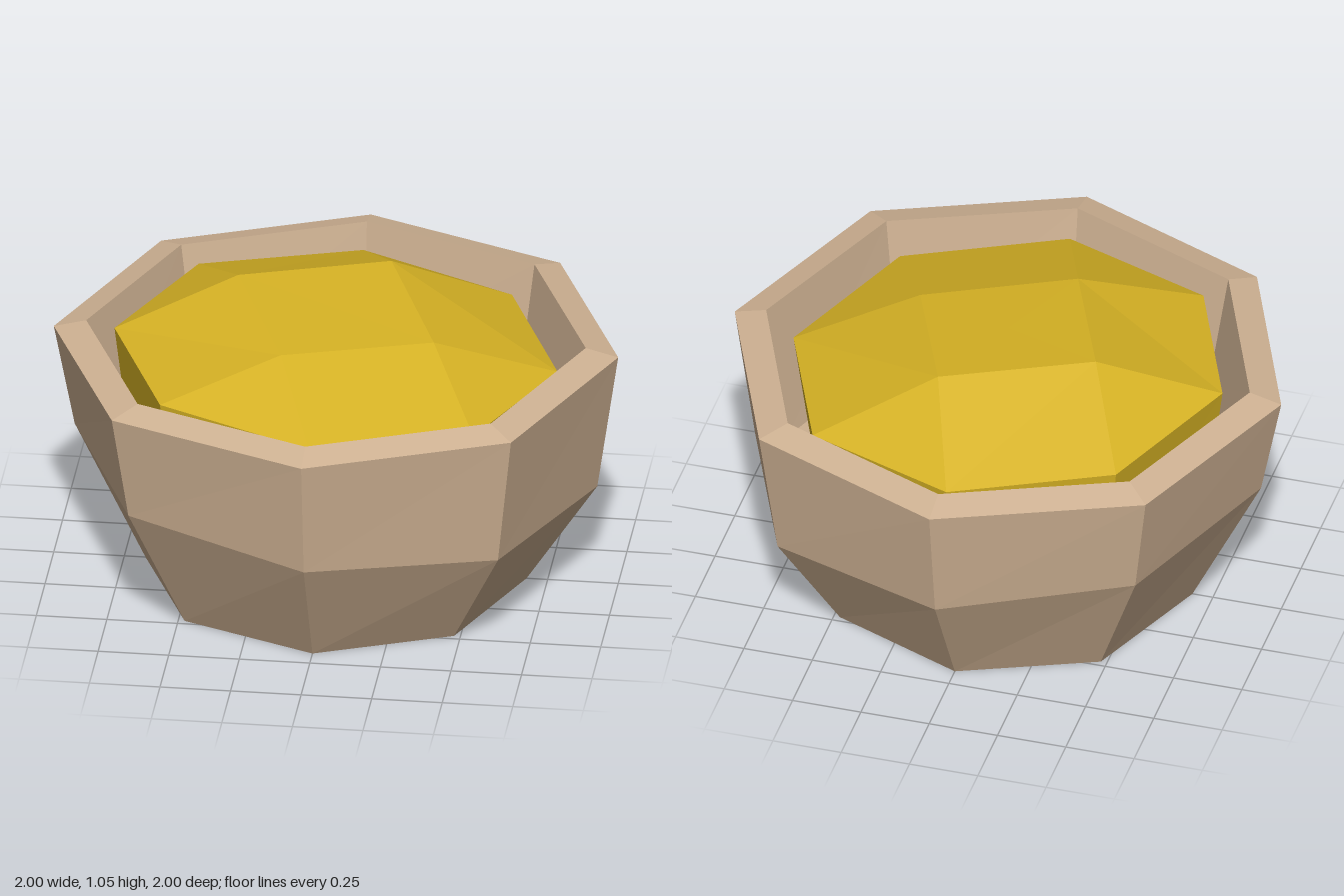
import * as THREE from 'three';

const SIDES = 8;

// Octagonal ring with corners on the axes; tilt lowers it toward +x
function ring(radius, y, tilt = 0) {
  return Array.from({ length: SIDES }, (_, i) => {
    const a = (i / SIDES) * Math.PI * 2;
    const x = radius * Math.cos(a);
    return new THREE.Vector3(x, y - tilt * x, -radius * Math.sin(a));
  });
}

// Skin a series of rings with flat faces, dropping collapsed triangles
function loft(rings, material, name) {
  const positions = [];
  const addTriangle = (a, b, c) => {
    if (new THREE.Triangle(a, b, c).getArea() < 1e-6) return;
    for (const p of [a, b, c]) positions.push(p.x, p.y, p.z);
  };
  for (let k = 0; k < rings.length - 1; k++) {
    for (let i = 0; i < SIDES; i++) {
      const j = (i + 1) % SIDES;
      const low = rings[k], high = rings[k + 1];
      addTriangle(low[i], low[j], high[j]);
      addTriangle(low[i], high[j], high[i]);
    }
  }
  const geometry = new THREE.BufferGeometry();
  geometry.setAttribute('position', new THREE.Float32BufferAttribute(positions, 3));
  geometry.computeVertexNormals();
  const mesh = new THREE.Mesh(geometry, material);
  mesh.name = name;
  return mesh;
}

export function createModel() {
  const clay = new THREE.MeshStandardMaterial({ color: 0xcfb293 });
  clay.name = 'tan clay';
  const yellow = new THREE.MeshStandardMaterial({ color: 0xd6b224 });
  yellow.name = 'mustard yellow';

  const group = new THREE.Group();
  group.name = 'filledBowl';

  // Thick bowl: outside, sloped rim, then inside down to the floor
  group.add(loft([
    ring(0, 0),
    ring(0.675, 0),
    ring(0.926, 0.445, 0.072),
    ring(1, 0.89),
    ring(0.885, 0.92),
    ring(0.805, 0.445, 0.072),
    ring(0.6, 0.12),
    ring(0, 0.12),
  ], clay, 'bowl'));

  // Four uneven peaks, each shared by two neighbouring corners of the heap
  const peaks = [0.985, 1.035, 1.055, 1.01].map((y, k) => {
    const a = (k / 4) * Math.PI * 2 - Math.PI / 8;
    return new THREE.Vector3(0.395 * Math.cos(a), y, -0.395 * Math.sin(a));
  });
  const crown = Array.from({ length: SIDES }, (_, i) => peaks[Math.floor((i + 1) / 2) % 4]);

  // Heaped filling resting inside the bowl
  group.add(loft([
    ring(0, 0.45),
    ring(0.73, 0.45),
    ring(0.785, 0.858, 0.048),
    crown,
    ring(0, 1.021),
  ], yellow, 'filling'));

  return group;
}
